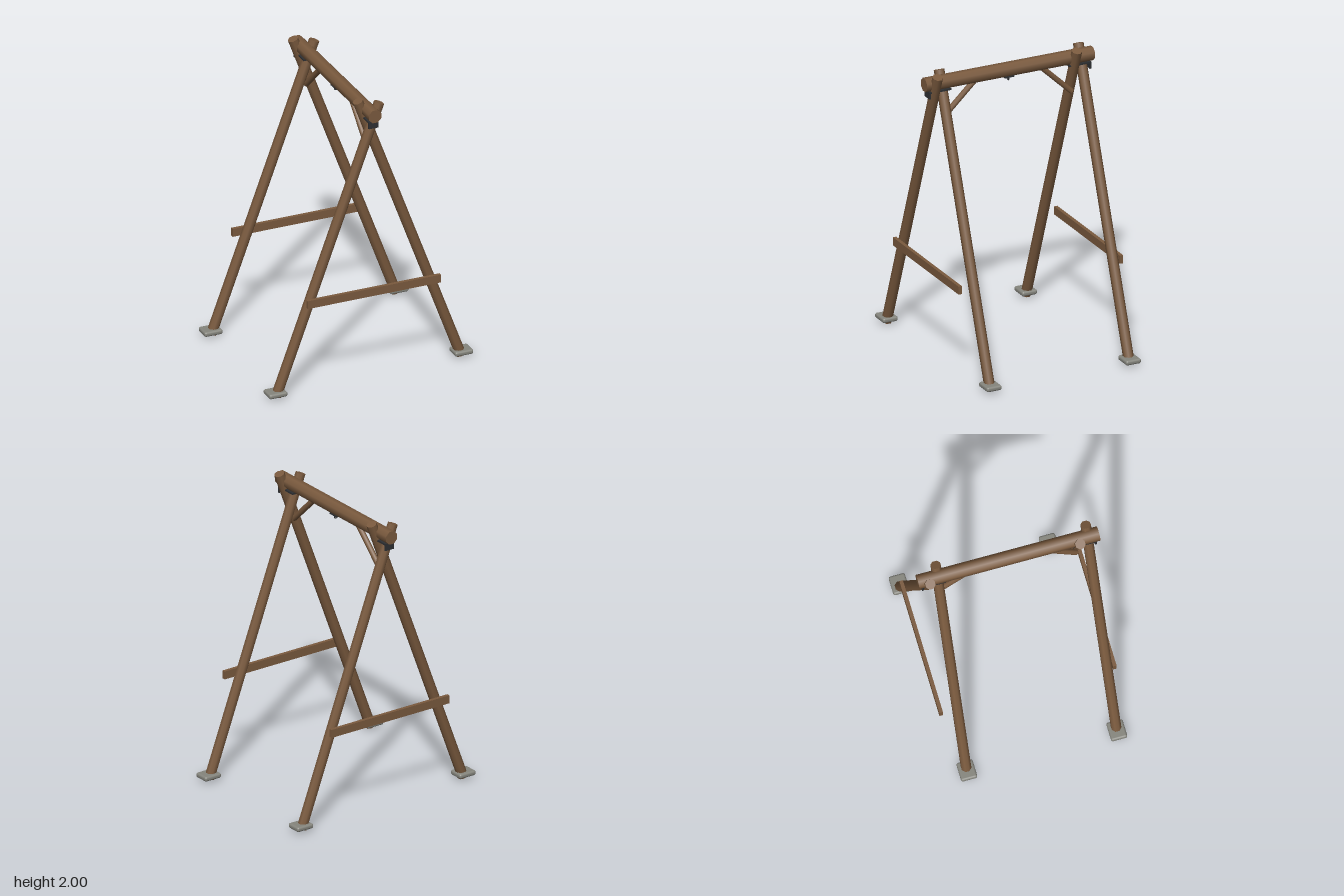
import * as THREE from 'three';
import { RoundedBoxGeometry } from 'three/addons/geometries/RoundedBoxGeometry.js';

const wood = new THREE.MeshStandardMaterial({ color: 0x7a5a3e });
const iron = new THREE.MeshStandardMaterial({ color: 0x2e3033 });
const stone = new THREE.MeshStandardMaterial({ color: 0x85857d });

function add(parent, name, geometry, material, x = 0, y = 0, z = 0) {
  const mesh = new THREE.Mesh(geometry, material);
  mesh.name = name;
  mesh.position.set(x, y, z);
  parent.add(mesh);
  return mesh;
}

// Eight-sided pole between two points; half is the distance from axis to flat
function pole(parent, name, from, to, half) {
  const a = new THREE.Vector3(...from);
  const b = new THREE.Vector3(...to);
  const dir = b.clone().sub(a);
  const r = half / Math.cos(Math.PI / 8);
  const geometry = new THREE.CylinderGeometry(r, r, dir.length(), 8, 1, false, Math.PI / 8);
  const mesh = add(parent, name, geometry, wood, ...a.add(b).multiplyScalar(0.5).toArray());
  mesh.quaternion.setFromUnitVectors(new THREE.Vector3(0, 1, 0), dir.normalize());
}

// One crossed A-frame with its hardware, built for the front end
function endFrame(name) {
  const end = new THREE.Group();
  end.name = name;
  for (const [side, z] of [[-1, 0.542], [1, 0.472]]) {
    pole(end, 'leg', [side * 0.675, 0.012, z], [-side * 0.06, 1.989, z], 0.0325);
    add(end, 'footPad', new RoundedBoxGeometry(0.13, 0.034, 0.11, 3, 0.014), stone, side * 0.68, 0.036, z);
  }
  add(end, 'crossBar', new THREE.BoxGeometry(0.95, 0.056, 0.024), wood, 0, 0.653, 0.587);
  pole(end, 'cornerBrace', [0, 1.686, 0.462], [0, 1.89, 0.247], 0.018);
  // Angle bracket under the beam
  add(end, 'bracketPlate', new THREE.BoxGeometry(0.07, 0.012, 0.16), iron, 0, 1.877, 0.51);
  add(end, 'bracketFace', new THREE.BoxGeometry(0.07, 0.05, 0.012), iron, 0, 1.858, 0.584);
  return end;
}

export function createModel() {
  const model = new THREE.Group();
  model.name = 'swingFrame';

  pole(model, 'topBeam', [0, 1.927, -0.612], [0, 1.927, 0.612], 0.0445);

  const front = endFrame('frontFrame');
  const back = endFrame('backFrame');
  back.rotation.y = Math.PI;
  model.add(front, back);

  // Hanging eye in the middle of the beam
  const hanger = new THREE.Group();
  hanger.name = 'hanger';
  add(hanger, 'hangerPlate', new THREE.BoxGeometry(0.05, 0.01, 0.07), iron, 0, 1.88, 0);
  add(hanger, 'hangerEye', new THREE.TorusGeometry(0.012, 0.004, 8, 16), iron, 0, 1.864, 0);
  model.add(hanger);

  return model;
}
